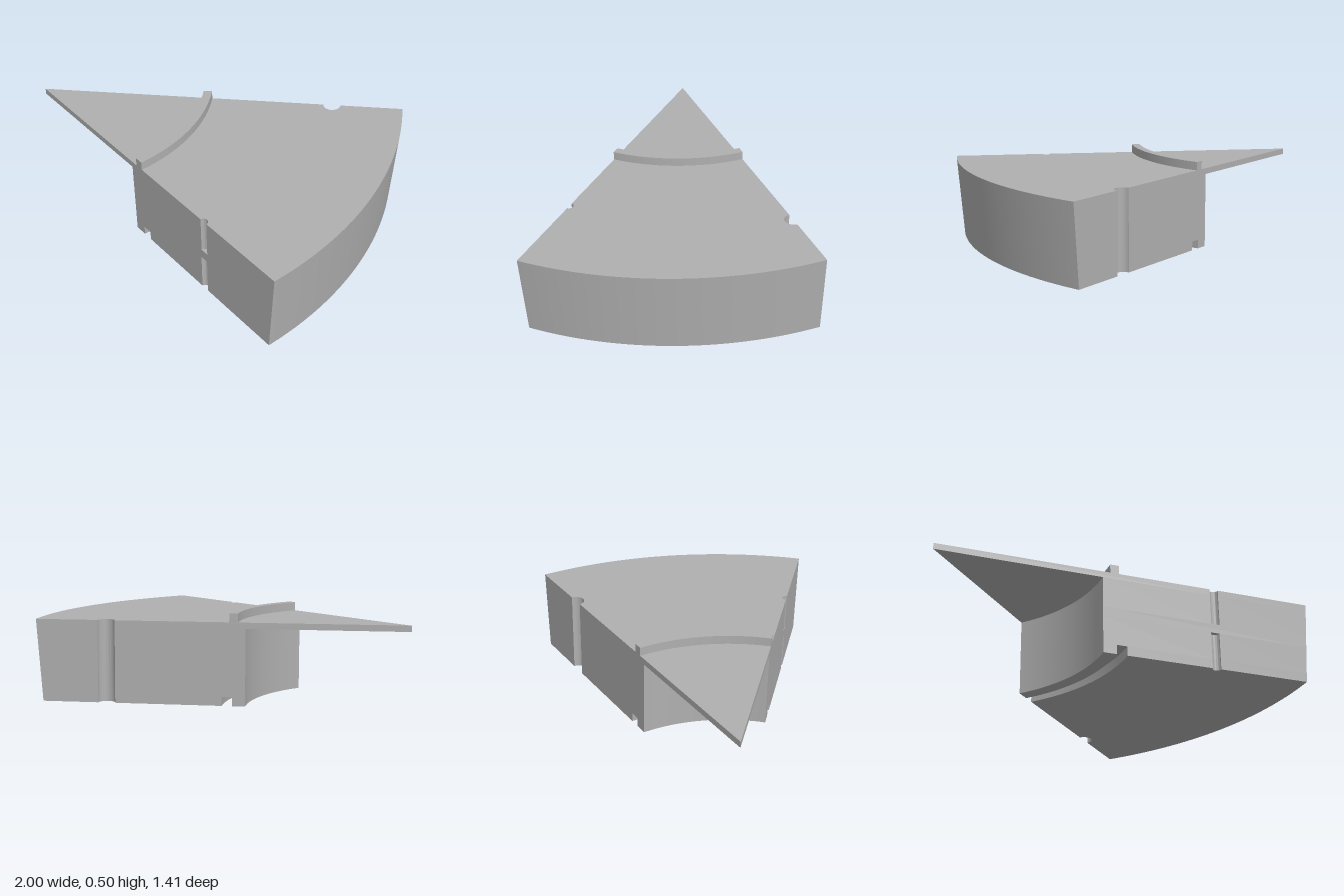
import * as THREE from 'three';
import { toCreasedNormals } from 'three/addons/utils/BufferGeometryUtils.js';

const ANGLE = Math.PI / 4;   // wedge angle
const R = 2;                 // outer radius at the top
const TOP = 0.45;            // height of the top surface
const TAPER = 0.034;         // how far the outer wall leans in at the base
const HALF = Math.SQRT1_2;

// Ring-sector outline about the wedge tip, with optional round notches in its two straight edges
function sector(rIn, rOut, frontNotch, backNotch) {
  const c = Math.cos(ANGLE), s = Math.sin(ANGLE);
  const shape = new THREE.Shape();
  shape.moveTo(rIn, 0);
  if (frontNotch) {
    shape.lineTo(frontNotch - 0.023, 0);
    shape.absarc(frontNotch, 0, 0.023, Math.PI, 0, true);
  }
  shape.lineTo(rOut, 0);
  shape.absarc(0, 0, rOut, 0, ANGLE, false);
  if (backNotch) {
    shape.absarc(backNotch * c, backNotch * s, 0.047, ANGLE, ANGLE - Math.PI, true);
  }
  if (rIn > 0) {
    shape.lineTo(rIn * c, rIn * s);
    shape.absarc(0, 0, rIn, ANGLE, 0, true);
  }
  shape.closePath();
  return shape;
}

// Slab of a sector between two heights; vertices on the outer wall follow the taper
function slab(shape, y0, y1) {
  const geo = new THREE.ExtrudeGeometry(shape, { depth: y1 - y0, bevelEnabled: false, curveSegments: 24 });
  geo.rotateX(-Math.PI / 2);
  geo.translate(0, y0, 0);
  const p = geo.attributes.position;
  for (let i = 0; i < p.count; i++) {
    const x = p.getX(i), y = p.getY(i), z = p.getZ(i);
    if (Math.hypot(x, z) > R - 0.001) {
      const k = (R - TAPER * (1 - y / TOP)) / R;
      p.setXYZ(i, x * k, y, z * k);
    }
  }
  geo.translate(-1, 0, HALF);
  return toCreasedNormals(geo, 0.5);
}

export function createModel() {
  const group = new THREE.Group();
  group.name = 'wedgeSegment';
  const grey = new THREE.MeshStandardMaterial({ color: 0xb0b0b0 });
  grey.name = 'grey';

  const IN = 0.86, BACK = 1.612, LOW = 1.463, HIGH = 1.467;
  // name, inner radius, outer radius, front notch, back notch, bottom, top
  const parts = [
    // foot, split by the curved groove underneath
    ['footInnerRim', IN, 0.93, 0, 0, 0, 0.05],
    ['footOuter', 0.985, R, LOW, BACK, 0, 0.05],
    // body, with the front notch interrupted half way up
    ['bodyLower', IN, R, LOW, BACK, 0.05, 0.2],
    ['bodyMiddle', IN, R, 0, BACK, 0.2, 0.25],
    ['bodyUpper', IN, R, HIGH, BACK, 0.25, 0.417],
    // thin top plate reaching to the tip, and its raised curved rib
    ['topPlate', 0, R, HIGH, BACK, 0.417, TOP],
    ['curvedRib', 0.9, 0.947, 0, 0, TOP, 0.497],
  ];
  for (const [name, rIn, rOut, front, back, y0, y1] of parts) {
    const mesh = new THREE.Mesh(slab(sector(rIn, rOut, front, back), y0, y1), grey);
    mesh.name = name;
    group.add(mesh);
  }
  return group;
}
